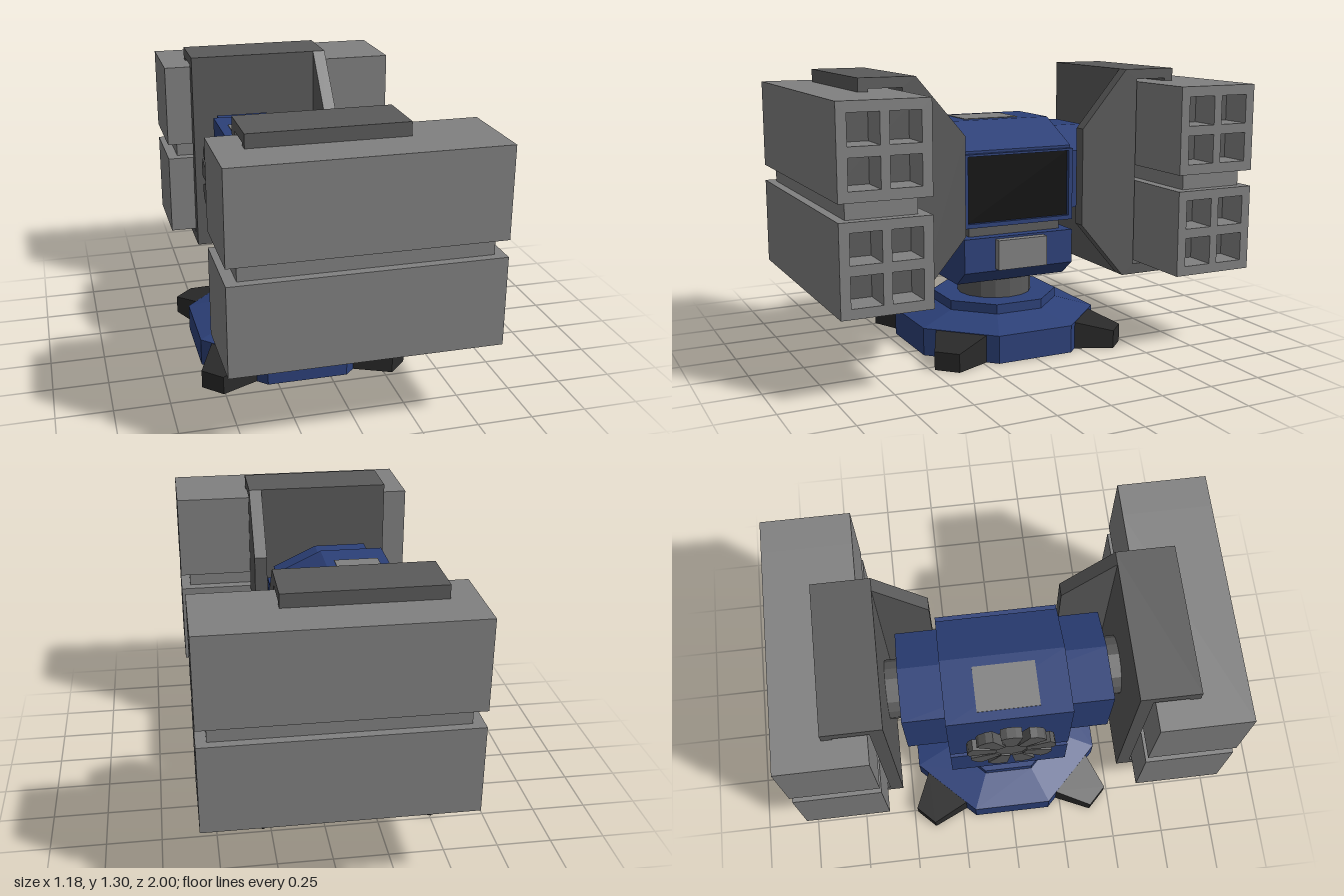
import * as THREE from 'three';

const mat = (color) => new THREE.MeshStandardMaterial({ color, flatShading: true });
const blue = mat(0x2c4078), grey = mat(0x808080), darkGrey = mat(0x5a5a5a);
const black = mat(0x0c0c0c), rubber = mat(0x2a2a2a);
const CX = -0.11; // axis of the turret

function add(parent, name, geometry, material) {
  const mesh = new THREE.Mesh(geometry, material);
  mesh.name = name;
  parent.add(mesh);
  return mesh;
}

// Box given by its limits on each axis
function box(x0, x1, y0, y1, z0, z1) {
  return new THREE.BoxGeometry(x1 - x0, y1 - y0, Math.abs(z1 - z0))
    .translate((x0 + x1) / 2, (y0 + y1) / 2, (z0 + z1) / 2);
}

const polygon = (points) => new THREE.Shape(points.map(([x, y]) => new THREE.Vector2(x, y)));
const rect = (u0, u1, v0, v1) => polygon([[u0, v0], [u1, v0], [u1, v1], [u0, v1]]);
const extrude = (shape, depth) => new THREE.ExtrudeGeometry(shape, { depth, bevelEnabled: false });

// Side profile in x, y pushed through z, centred
const alongZ = (points, width) => extrude(polygon(points), width).translate(0, 0, -width / 2);
// Shape in -z, y pushed from x0 to x1
const alongX = (shape, x0, x1) => extrude(shape, x1 - x0).rotateY(Math.PI / 2).translate(x0, 0, 0);

// Regular octagonal ring with flat sides towards the axes
function octagon(top, bottom, y0, y1) {
  const k = 1 / Math.cos(Math.PI / 8);
  return new THREE.CylinderGeometry(top * k, bottom * k, y1 - y0, 8)
    .rotateY(Math.PI / 8).translate(CX, (y0 + y1) / 2, 0);
}

function makeBase() {
  const g = new THREE.Group();
  g.name = 'base';
  add(g, 'baseSkirt', octagon(0.45, 0.45, 0, 0.13), blue);
  add(g, 'baseSlope', octagon(0.28, 0.45, 0.13, 0.18), blue);
  add(g, 'baseCollar', octagon(0.28, 0.28, 0.18, 0.225), blue);
  add(g, 'neck', new THREE.CylinderGeometry(0.18, 0.18, 0.12, 16).translate(CX, 0.27, 0), darkGrey);
  // Feet taper outwards and downwards
  for (let i = 0; i < 4; i++) {
    const geo = new THREE.BoxGeometry(0.18, 1, 1);
    const p = geo.attributes.position;
    for (let v = 0; v < p.count; v++) {
      const outer = p.getX(v) > 0;
      p.setXYZ(v, outer ? 0.622 : 0.44, p.getY(v) > 0 ? (outer ? 0.085 : 0.13) : 0,
        Math.sign(p.getZ(v)) * (outer ? 0.06 : 0.128));
    }
    geo.computeVertexNormals();
    const foot = add(g, 'foot', geo, rubber);
    foot.position.x = CX;
    foot.rotation.y = Math.PI / 4 + i * Math.PI / 2;
  }
  return g;
}

function makeFan() {
  const g = new THREE.Group();
  g.name = 'fan';
  const disc = (r, h, x) => new THREE.CylinderGeometry(r, r, h, 16).rotateZ(Math.PI / 2).translate(x, 0, 0);
  add(g, 'fanShaft', disc(0.06, 0.05, 0.035), grey);
  add(g, 'fanHub', disc(0.1, 0.035, 0), darkGrey);
  for (let i = 0; i < 9; i++) {
    const shape = polygon([[-0.022, 0.07], [0.022, 0.07], [0.048, 0.185], [0.02, 0.2], [-0.02, 0.2], [-0.048, 0.185]]);
    const blade = add(g, 'fanBlade', alongX(shape, -0.025, 0.025), darkGrey);
    blade.rotation.x = i * 2 * Math.PI / 9;
  }
  g.position.set(-0.44, 0.82, 0);
  return g;
}

function makeHead() {
  const g = new THREE.Group();
  g.name = 'head';
  // Lower housing with chamfered chin
  add(g, 'lowerHousing', alongZ([[-0.39, 0.32], [0.08, 0.32], [0.17, 0.39], [0.17, 0.55], [-0.39, 0.55]], 0.56), blue);
  add(g, 'frontPanel', box(0.15, 0.21, 0.4, 0.54, -0.125, 0.125), grey);
  add(g, 'spacer', box(-0.34, 0.12, 0.54, 0.61, -0.235, 0.235), darkGrey);
  // Upper housing with sloping brow
  add(g, 'upperHousing', alongZ([[-0.39, 0.6], [0.145, 0.6], [0.145, 0.952], [-0.09, 1.065], [-0.39, 1.065]], 0.56), blue);
  const rim = rect(-0.28, 0.28, 0.6, 0.94);
  rim.holes.push(rect(-0.26, 0.26, 0.62, 0.93));
  add(g, 'windowFrame', alongX(rim, 0.145, 0.17), blue);
  add(g, 'window', box(0.14, 0.15, 0.62, 0.93, -0.26, 0.26), black);
  add(g, 'topVent', box(-0.345, -0.135, 1.04, 1.068, -0.14, 0.14), grey);
  // Shoulder block running through both sides
  add(g, 'shoulders', alongZ([[-0.34, 0.645], [0.12, 0.645], [0.12, 0.92], [-0.09, 1.02], [-0.34, 1.02]], 0.94), blue);
  g.add(makeFan());
  return g;
}

// Box with four square tube mouths at its +x end
function makePod(y0, y1, zMid) {
  const g = new THREE.Group();
  g.name = 'launcherPod';
  const h = (y1 - y0) / 2, mouth = 0.435;
  const face = rect(-0.2, 0.2, -h, h);
  for (const u of [-0.088, 0.088]) {
    for (const v of [-0.088, 0.088]) face.holes.push(rect(u - 0.068, u + 0.068, v - 0.066, v + 0.066));
  }
  add(g, 'podBody', box(-0.575, mouth, -h, h, -0.2, 0.2), grey);
  add(g, 'podMouths', alongX(face, mouth, 0.585), grey);
  add(g, 'tubeFloors', box(mouth - 0.02, mouth + 0.005, -0.17, 0.17, -0.17, 0.17), darkGrey);
  g.position.set(0, (y0 + y1) / 2, zMid);
  return g;
}

// s = 1 for the +z side, -1 for the -z side
function makeLauncher(s) {
  const g = new THREE.Group();
  g.name = 'launcher';
  const side = (points) => polygon(points.map(([z, y]) => [-s * z, y]));
  g.add(makePod(0.845, 1.245, s * 0.8), makePod(0.375, 0.77, s * 0.8));
  add(g, 'podLink', box(-0.525, 0.54, 0.76, 0.855, s * 0.65, s * 0.96), grey);
  // C-shaped cradle with small lips gripping the pods
  add(g, 'cradle', alongX(side([
    [0.53, 0.31], [0.79, 0.31], [0.79, 0.375], [0.745, 0.375], [0.745, 0.36], [0.59, 0.36],
    [0.59, 1.258], [0.745, 1.258], [0.745, 1.245], [0.79, 1.245], [0.79, 1.305], [0.53, 1.305],
  ]), -0.45, 0.23), darkGrey);
  add(g, 'cradleWeb', alongX(side([[0.3, 0.578], [0.53, 0.31], [0.53, 1.305], [0.3, 1.035]]), 0.17, 0.23), darkGrey);
  add(g, 'pivot', new THREE.CylinderGeometry(0.137, 0.137, 0.08, 16).rotateX(Math.PI / 2)
    .translate(CX, 0.82, s * 0.5), darkGrey);
  return g;
}

export function createModel() {
  const model = new THREE.Group();
  model.name = 'turret';
  model.add(makeBase(), makeHead(), makeLauncher(1), makeLauncher(-1));
  return model;
}
